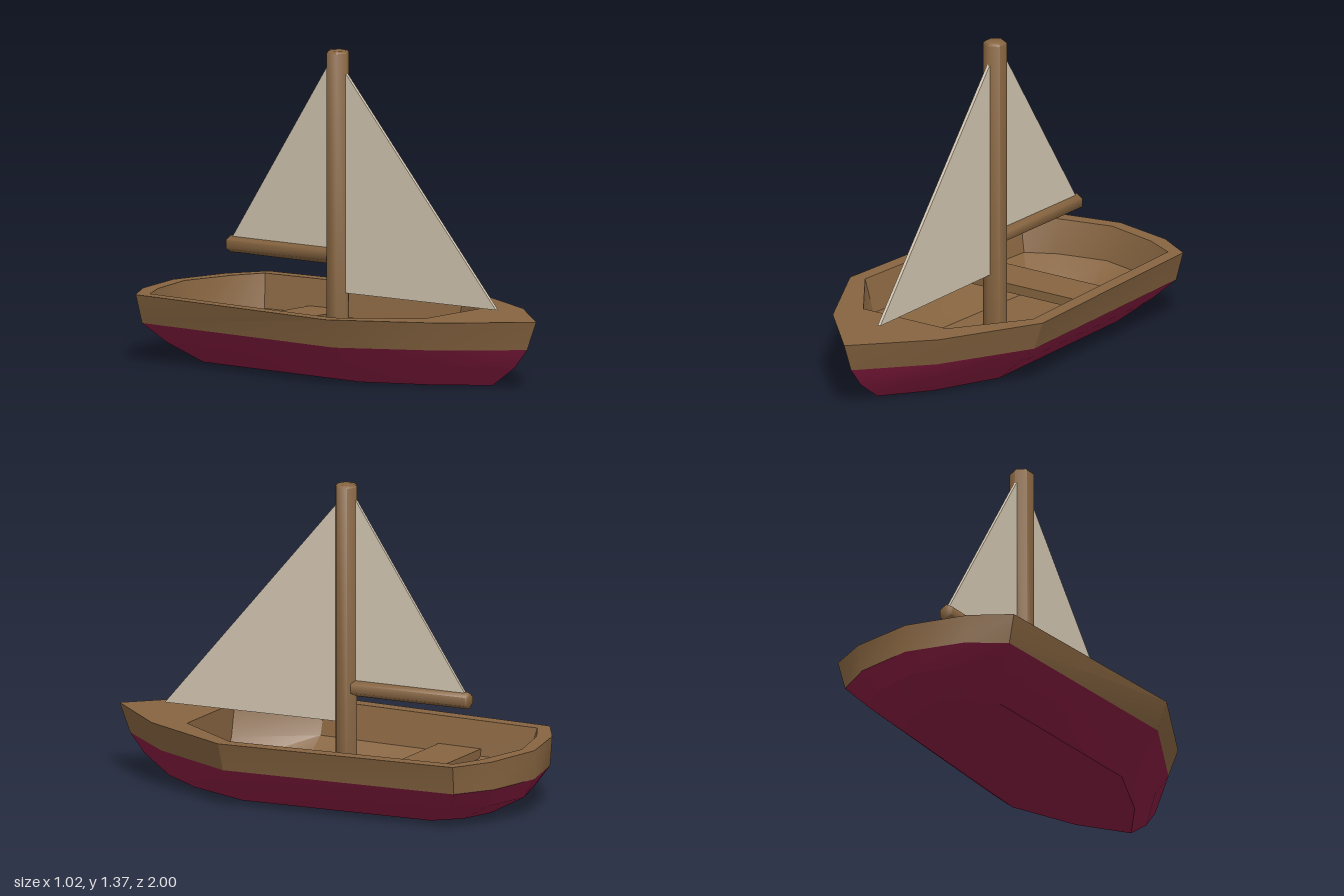
import * as THREE from 'three';
import { toCreasedNormals } from 'three/addons/utils/BufferGeometryUtils.js';

const material = (name, color) => new THREE.MeshStandardMaterial({ name, color });

// Half outline [x, z] from bow to stern, mirrored into a closed ring at height y
function ring(y, half) {
  const mirrored = half.slice(1, -1).reverse().map(([x, z]) => [-x, z]);
  return [...half, ...mirrored].map(([x, z]) => [x, y, z]);
}

// Skin through successive rings, with optional flat ends
function loft(rings, { bottom = false, floor = false } = {}) {
  const pos = [];
  const tri = (...points) => points.forEach((p) => pos.push(...p));
  const n = rings[0].length;
  const last = rings[rings.length - 1];
  for (let i = 0; i < n; i++) {
    const j = (i + 1) % n;
    for (let r = 0; r < rings.length - 1; r++) {
      const a = rings[r], b = rings[r + 1];
      tri(a[i], a[j], b[j]);
      tri(a[i], b[j], b[i]);
    }
    if (bottom) tri([0, rings[0][0][1], 0], rings[0][j], rings[0][i]);
    if (floor) tri([0, last[0][1], 0], last[i], last[j]);
  }
  const geometry = new THREE.BufferGeometry();
  geometry.setAttribute('position', new THREE.Float32BufferAttribute(pos, 3));
  return toCreasedNormals(geometry, 0.5);
}

// Six-sided pole along y with a small chamfer at the top end
function pole(radius, y0, y1) {
  const c = radius * 0.22;
  const profile = [[0, y0], [radius, y0], [radius, y1 - c], [radius - c, y1], [0, y1]]
    .map(([x, y]) => new THREE.Vector2(x, y));
  return toCreasedNormals(new THREE.LatheGeometry(profile, 6), 1.1);
}

// Thin triangular sail in the z-y plane
function sail(points, thickness) {
  const shape = new THREE.Shape(points.map(([z, y]) => new THREE.Vector2(z, y)));
  const geometry = new THREE.ExtrudeGeometry(shape, { depth: thickness, bevelEnabled: false });
  return geometry.translate(0, 0, -thickness / 2).rotateY(-Math.PI / 2);
}

export function createModel() {
  const boat = new THREE.Group();
  boat.name = 'sailboat';
  const wood = material('wood', 0x866440);
  const maroon = material('maroonPaint', 0x8c1d42);
  const canvas = material('canvas', 0xd2c5b0);

  const add = (name, geometry, mat) => {
    const mesh = new THREE.Mesh(geometry, mat);
    mesh.name = name;
    boat.add(mesh);
    return mesh;
  };

  // Outer hull rings
  const keel = ring(0, [[0, 0.76], [0.15, 0.56], [0.28, 0.26], [0.25, -0.63], [0.15, -0.74], [0, -0.79]]);
  const bilge = ring(0.085, [[0, 0.88], [0.21, 0.63], [0.38, 0.26], [0.34, -0.76], [0.21, -0.89], [0, -0.95]]);
  const waterline = ring(0.17, [[0, 0.95], [0.25, 0.67], [0.465, 0.26], [0.42, -0.83], [0.26, -0.94], [0, -1]]);
  const rim = ring(0.295, [[0, 1], [0.28, 0.7], [0.51, 0.26], [0.45, -0.84], [0.28, -0.94], [0, -1]]);

  // Cockpit rings, with a flat bulkhead at the bow end
  const opening = ring(0.295, [[0, 0.56], [0.22, 0.56], [0.445, 0.24], [0.39, -0.81], [0.25, -0.88], [0, -0.94]]);
  const wall = ring(0.15, [[0, 0.56], [0.19, 0.56], [0.4, 0.24], [0.35, -0.78], [0.22, -0.85], [0, -0.9]]);
  const floor = ring(0.04, [[0, 0.56], [0.12, 0.56], [0.24, 0.24], [0.22, -0.63], [0.13, -0.7], [0, -0.76]]);

  add('lowerHull', loft([keel, bilge, waterline], { bottom: true }), maroon);
  add('upperHull', loft([waterline, rim]), wood);
  add('deck', loft([rim, opening]), wood);
  add('cockpit', loft([opening, wall, floor], { floor: true }), wood);

  // Bench across the cockpit
  add('bench', new THREE.BoxGeometry(0.76, 0.04, 0.21), wood).position.set(0, 0.16, -0.445);

  // Mast and boom
  add('mast', pole(0.052, 0.035, 1.37), wood).position.z = -0.093;
  const boom = add('boom', pole(0.037, 0, 0.56), wood);
  boom.rotation.x = -Math.PI / 2;
  boom.position.set(0, 0.48, -0.13);

  // Sails, the front one swung slightly to one side
  add('mainSail', sail([[-0.12, 0.5], [-0.12, 1.335], [-0.675, 0.5]], 0.014), canvas);
  const jib = add('frontSail', sail([[0, 0.325], [0.82, 0.325], [0, 1.28]], 0.014), canvas);
  jib.position.z = -0.05;
  jib.rotation.y = 0.02;

  return boat;
}
